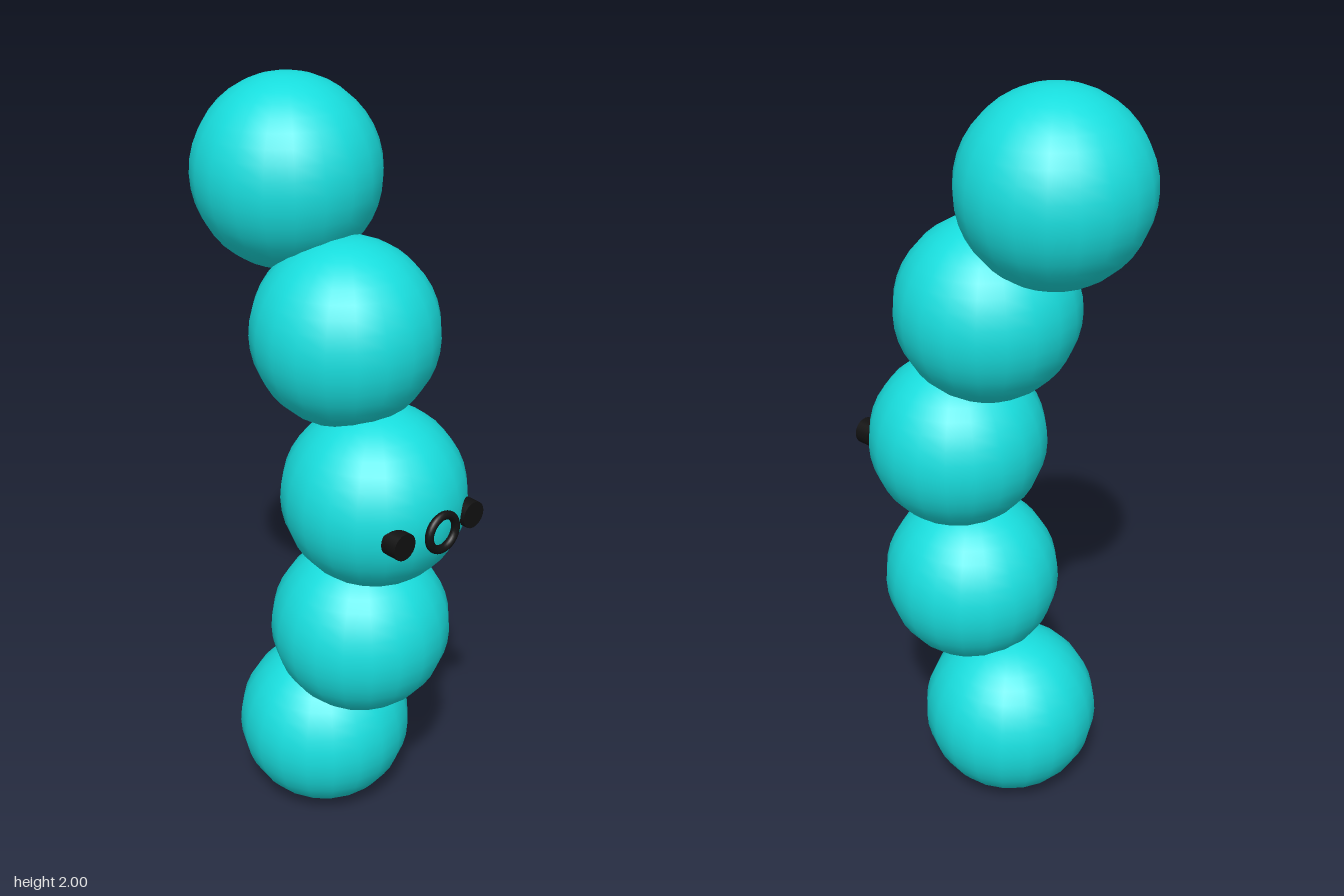
import * as THREE from 'three';

export function createModel() {
  const group = new THREE.Group();
  const teal = new THREE.MeshStandardMaterial({ color: 0x18dede });
  const black = new THREE.MeshStandardMaterial({ color: 0x111111 });

  function add(name, geometry, material, x, y, z) {
    const mesh = new THREE.Mesh(geometry, material);
    mesh.name = name;
    mesh.position.set(x, y, z);
    group.add(mesh);
  }

  // Curved stack of overlapping balls, bottom to top: [y, z]
  const ball = new THREE.SphereGeometry(0.235, 20, 20);
  const centres = [[0.237, -0.035], [0.616, 0.107], [1.015, 0.152], [1.413, 0.044], [1.765, -0.165]];
  centres.forEach(([y, z], i) => add(`bodySegment${i + 1}`, ball, teal, 0, y, z));

  // Eyes: short discs facing forward
  const eye = new THREE.CylinderGeometry(0.035, 0.035, 0.045, 20).rotateX(Math.PI / 2);
  add('leftEye', eye, black, 0.118, 1, 0.358);
  add('rightEye', eye, black, -0.118, 1, 0.358);

  // Round open mouth
  add('mouth', new THREE.TorusGeometry(0.045, 0.011, 12, 32), black, 0, 1, 0.389);

  return group;
}
